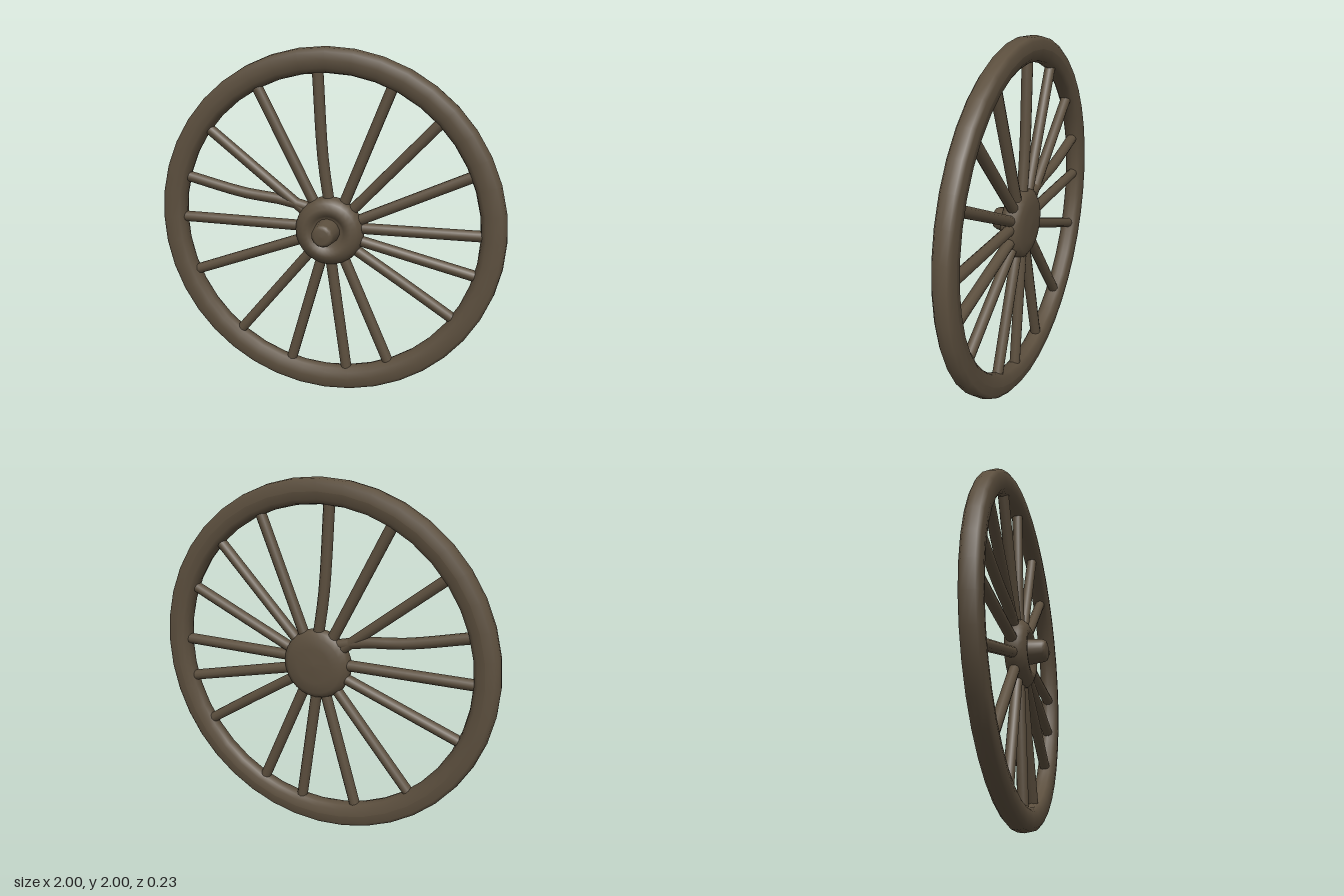
import * as THREE from 'three';

export function createModel() {
  const model = new THREE.Group();
  const wood = new THREE.MeshStandardMaterial({ color: 0x5c4f3e });
  wood.name = 'weathered wood';

  const add = (name, geometry) => {
    const mesh = new THREE.Mesh(geometry, wood);
    mesh.name = name;
    model.add(mesh);
    return mesh;
  };
  // Revolves a (radius, z) profile about the wheel's axle
  const turned = (name, profile, sides, x, y) => {
    const points = profile.map(([r, z]) => new THREE.Vector2(r, z));
    const mesh = add(name, new THREE.LatheGeometry(points, sides));
    mesh.rotation.x = Math.PI / 2;
    mesh.position.set(x, y, 0);
    return mesh;
  };

  // Rim: a broad ring with softened edges
  turned('rim', [
    [0.93, -0.108], [0.975, -0.106], [0.995, -0.09], [1, -0.055], [0.995, -0.02],
    [0.975, -0.004], [0.93, 0], [0.89, -0.006], [0.868, -0.025], [0.86, -0.055],
    [0.868, -0.085], [0.89, -0.103], [0.93, -0.108],
  ], 40, 0, 1);

  // Hub: shallow dome behind, rounded collar and recess in front
  turned('hub', [
    [0, -0.116], [0.1, -0.113], [0.16, -0.105], [0.19, -0.085], [0.2, -0.055],
    [0.193, -0.022], [0.17, 0.004], [0.14, 0.018], [0.115, 0.016], [0.095, 0],
    [0.08, -0.012], [0.05, -0.014],
  ], 28, 0.02, 0.985);

  // Axle end: tapered stub with a bevelled tip
  turned('axle', [
    [0.074, -0.03], [0.071, 0.02], [0.064, 0.085], [0.056, 0.102], [0.04, 0.108], [0, 0.11],
  ], 14, 0.015, 0.99);

  // Spokes: hand-cut, unevenly spaced; each path runs hub to rim as x, y pairs
  const spokes = [
    [[0.14, 1.01], [0.89, 1.02]],
    [[0.14, 0.95], [0.86, 0.785]],
    [[0.11, 0.92], [0.43, 0.72], [0.75, 0.515]],
    [[0.08, 0.88], [0.38, 0.195]],
    [[0.02, 0.86], [0.125, 0.13]],
    [[-0.01, 0.88], [-0.22, 0.14]],
    [[-0.06, 0.89], [-0.54, 0.305]],
    [[-0.1, 0.94], [-0.81, 0.67]],
    [[-0.12, 1], [-0.89, 1]],
    [[-0.1, 1.11], [-0.26, 1.145], [-0.49, 1.17], [-0.85, 1.25]],
    [[-0.09, 1.06], [-0.71, 1.545]],
    [[-0.05, 1.1], [-0.405, 1.79]],
    [[0.02, 1.12], [-0.02, 1.4], [-0.05, 1.88]],
    [[0.08, 1.09], [0.365, 1.81]],
    [[0.1, 1.06], [0.63, 1.63]],
    [[0.13, 1.03], [0.82, 1.352]],
  ];
  spokes.forEach((path, i) => {
    const curve = new THREE.CatmullRomCurve3(path.map(([x, y]) => new THREE.Vector3(x, y, -0.055)));
    add(`spoke${i + 1}`, new THREE.TubeGeometry(curve, 8, 0.031, 10));
  });

  return model;
}
